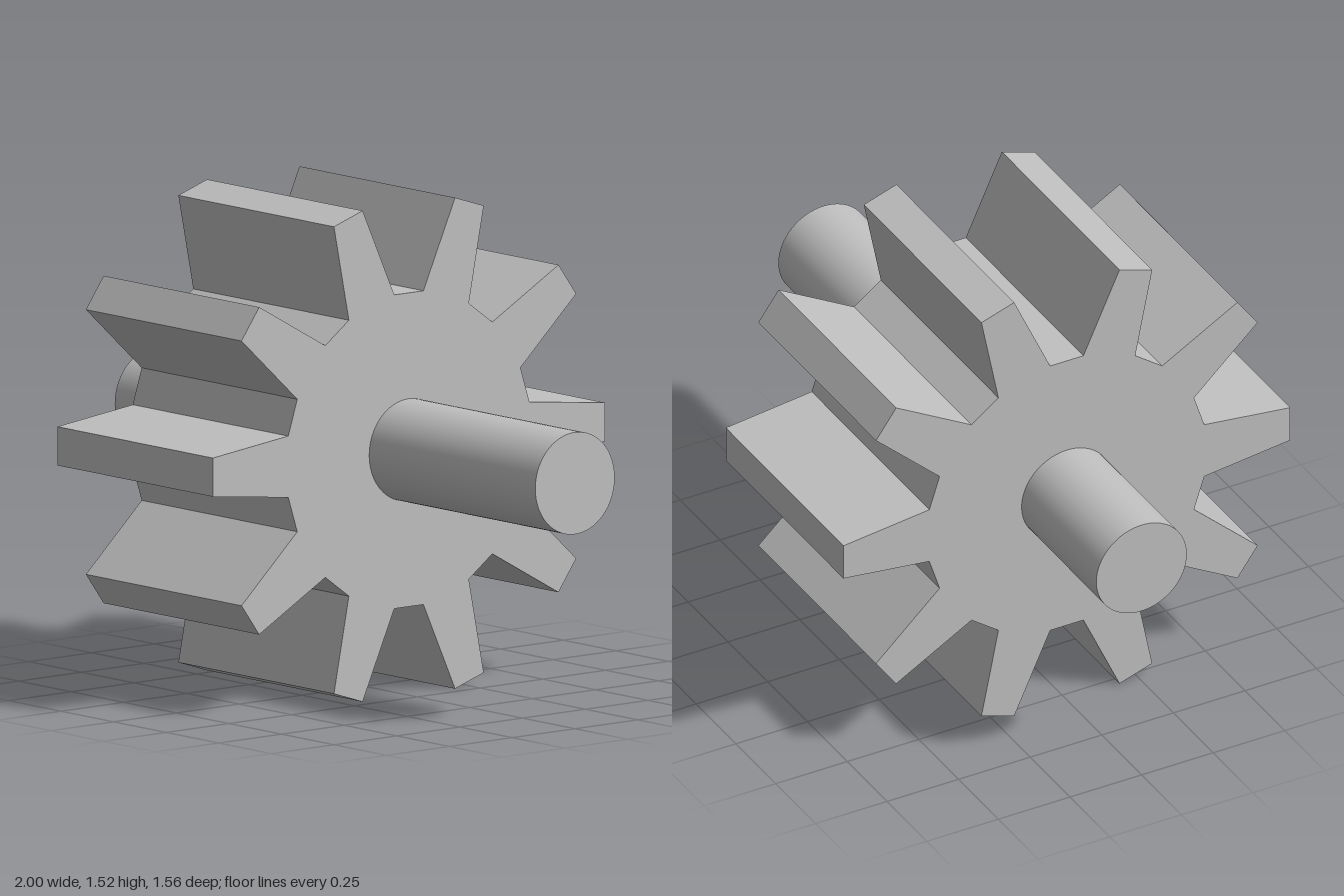
import * as THREE from 'three';

const AXIS_Y = 0.76;
const TEETH = 10;

// Gear outline: each tooth tapers from its root to a flat tip
function gearShape() {
  const tooth = [[0.48, -0.095], [0.78, -0.06], [0.78, 0.06], [0.48, 0.095]];
  const points = [];
  for (let i = 0; i < TEETH; i++) {
    const angle = (i / TEETH) * Math.PI * 2;
    for (const [x, y] of tooth) {
      points.push(new THREE.Vector2(x, y).rotateAround(new THREE.Vector2(), angle));
    }
  }
  return new THREE.Shape(points);
}

export function createModel() {
  const group = new THREE.Group();
  group.name = 'spurGearOnShaft';

  const steel = new THREE.MeshStandardMaterial({ color: 0xc0c0c0 });
  steel.name = 'steel grey';

  // Toothed wheel, set off-centre along the shaft
  const wheelGeometry = new THREE.ExtrudeGeometry(gearShape(), { depth: 0.74, bevelEnabled: false });
  wheelGeometry.rotateY(Math.PI / 2);
  const wheel = new THREE.Mesh(wheelGeometry, steel);
  wheel.name = 'gearWheel';
  wheel.position.set(-0.53, AXIS_Y, 0);
  group.add(wheel);

  // Round shaft through the wheel
  const shaftGeometry = new THREE.CylinderGeometry(0.158, 0.158, 2, 64);
  shaftGeometry.rotateZ(Math.PI / 2);
  const shaft = new THREE.Mesh(shaftGeometry, steel);
  shaft.name = 'shaft';
  shaft.position.y = AXIS_Y;
  group.add(shaft);

  return group;
}
